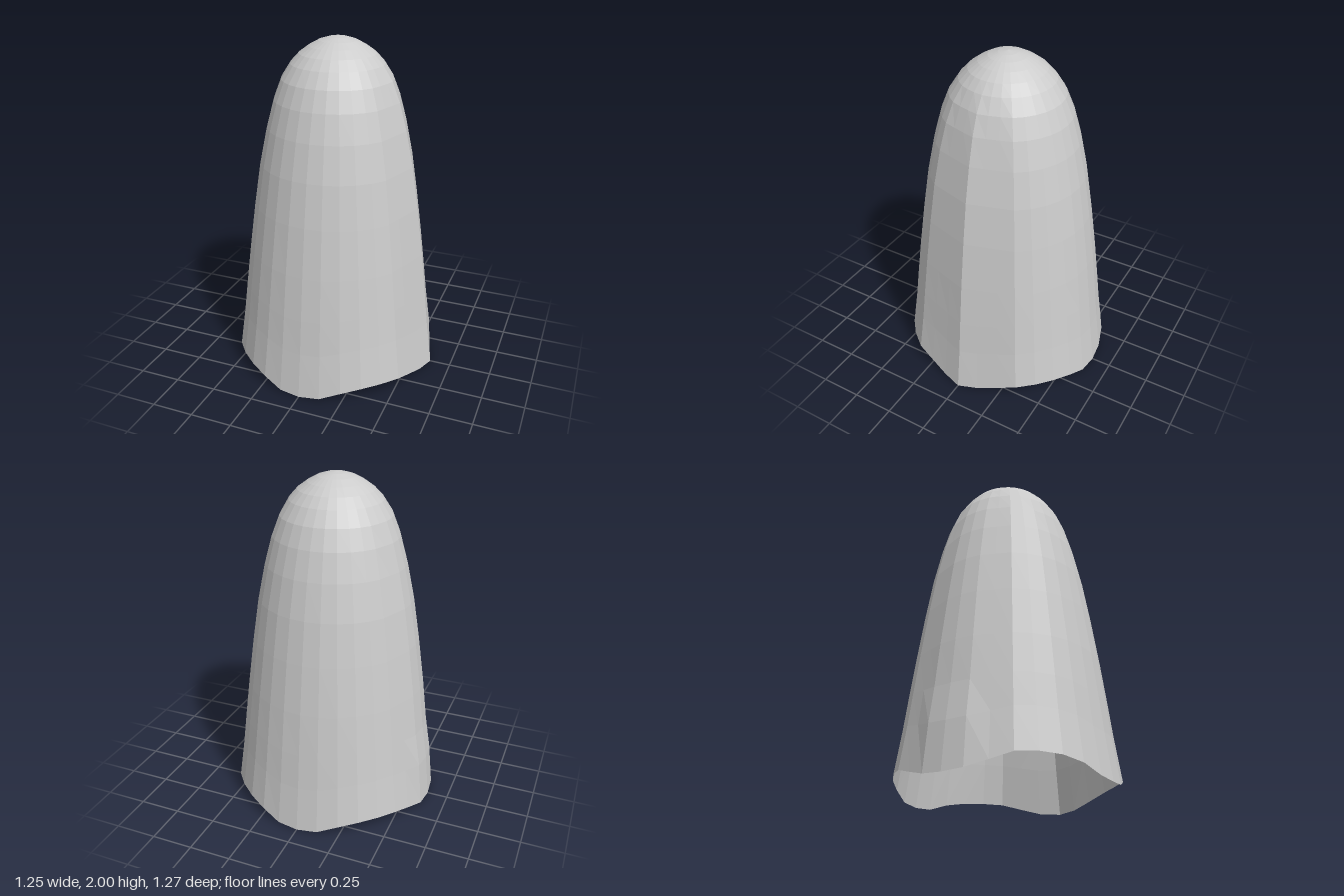
import * as THREE from 'three';

const SEGMENTS = 32;

// Dome profile: radius, height (the last ring is the wavy hem)
const PROFILE = [
  [0, 2], [0.055, 1.992], [0.11, 1.975], [0.165, 1.945], [0.22, 1.905],
  [0.272, 1.85], [0.328, 1.765], [0.375, 1.65], [0.42, 1.49], [0.465, 1.28],
  [0.505, 1.03], [0.545, 0.74], [0.575, 0.48], [0.598, 0.27], [0.633, 0],
];

// Hem height over one quarter turn, mirrored around the shell
const HEM = [0.003, 0.012, 0.055, 0.078, 0.085, 0.08, 0.045, 0.012, 0.003];

function hemAt(i) {
  const q = i % 16;
  return HEM[q <= 8 ? q : 16 - q];
}

// Unit direction of a segment, counted from the front (+z) towards +x
function direction(i) {
  const a = (i / SEGMENTS) * Math.PI * 2;
  return new THREE.Vector2(Math.sin(a), Math.cos(a));
}

// Same direction, with the side panels pulled flat onto chords
function flattened(i) {
  const spans = [[5, 8], [8, 11], [21, 23], [25, 27]];
  for (const [a, b] of spans) {
    if (i > a && i < b) return direction(a).lerp(direction(b), (i - a) / (b - a));
  }
  return direction(i);
}

function shellGeometry() {
  const positions = [];
  const index = [];
  PROFILE.forEach(([r, y], ring) => {
    const flat = THREE.MathUtils.smoothstep(r, 0.2, 0.42);
    for (let i = 0; i < SEGMENTS; i++) {
      const d = direction(i).lerp(flattened(i), flat);
      // the hem's influence fades quickly with height
      const lift = hemAt(i) * Math.max(0, 1 - y / 0.8);
      // slight swelling just above the hem on the -x side
      const swell = ring === PROFILE.length - 2 && Math.abs(i - 24) <= 1 ? 0.01 : 0;
      const xScale = 1 - 0.012 * Math.abs(d.x) * flat;
      positions.push(d.x * (r + swell) * xScale, y + lift, d.y * r);
    }
  });
  for (let ring = 0; ring < PROFILE.length - 1; ring++) {
    for (let i = 0; i < SEGMENTS; i++) {
      const j = (i + 1) % SEGMENTS;
      const a = ring * SEGMENTS + i, b = ring * SEGMENTS + j;
      const c = a + SEGMENTS, d = b + SEGMENTS;
      if (ring > 0) index.push(a, d, b);
      index.push(a, c, d);
    }
  }
  const geometry = new THREE.BufferGeometry();
  geometry.setAttribute('position', new THREE.Float32BufferAttribute(positions, 3));
  geometry.setIndex(index);
  geometry.computeVertexNormals();
  return geometry;
}

export function createModel() {
  const group = new THREE.Group();
  group.name = 'openDome';
  const material = new THREE.MeshStandardMaterial({
    color: 0xcccccc, flatShading: true, side: THREE.DoubleSide,
  });
  // Thin open shell with a wavy hem
  const shell = new THREE.Mesh(shellGeometry(), material);
  shell.name = 'shell';
  group.add(shell);
  return group;
}
